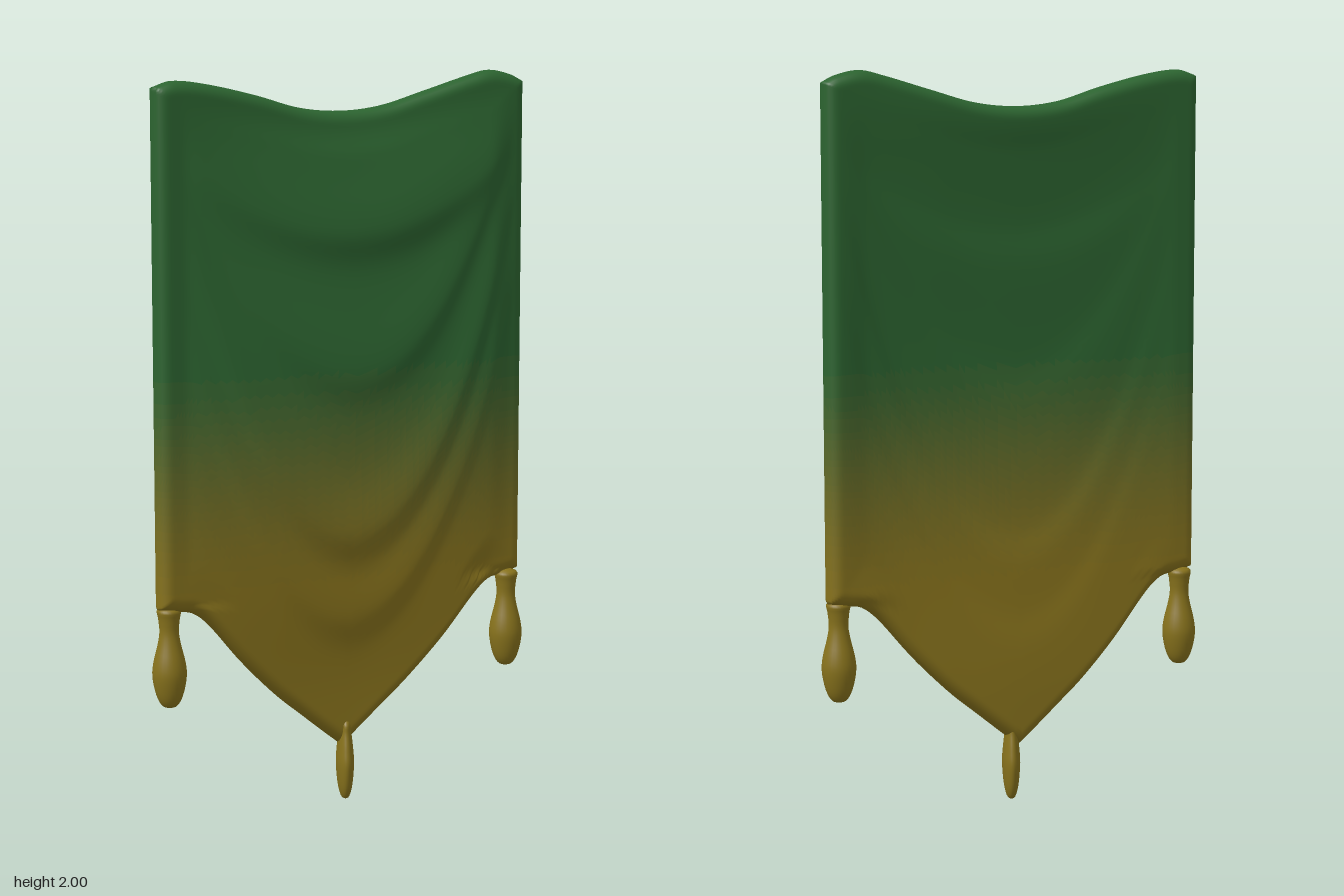
import * as THREE from 'three';
import { mergeVertices } from 'three/addons/utils/BufferGeometryUtils.js';

const GREEN = new THREE.Color(0x2c6430);
const GOLD = new THREE.Color(0x87721c);
const HALF_W = 0.555, HALF_T = 0.034;
const COLS = 80, ROWS = 100, BANDS = 22;

// Smooth (cubic Hermite) curve through points, read at x
function curveAt(pts, x) {
  let i = 0;
  while (i < pts.length - 2 && x > pts[i + 1][0]) i++;
  const slope = (k) => {
    const a = pts[Math.max(k - 1, 0)], b = pts[Math.min(k + 1, pts.length - 1)];
    return (b[1] - a[1]) / (b[0] - a[0]);
  };
  const [x0, y0] = pts[i], [x1, y1] = pts[i + 1], w = x1 - x0;
  const t = THREE.MathUtils.clamp((x - x0) / w, 0, 1), t2 = t * t, t3 = t2 * t;
  return (2 * t3 - 3 * t2 + 1) * y0 + (t3 - 2 * t2 + t) * w * slope(i)
    + (3 * t2 - 2 * t3) * y1 + (t3 - t2) * w * slope(i + 1);
}

// Sagging top edge, pointed bottom edge (mirrored), bow of the hang line, billow by height
const TOP = [[-0.555, 1.975], [-0.5, 1.99], [-0.4, 1.98], [-0.25, 1.947], [-0.12, 1.911], [0, 1.9],
  [0.12, 1.911], [0.25, 1.947], [0.38, 1.985], [0.45, 2], [0.52, 1.987], [0.555, 1.97]];
const BOTTOM = [[0, 0.155], [0.05, 0.195], [0.12, 0.253], [0.2, 0.32], [0.3, 0.42],
  [0.4, 0.537], [0.45, 0.578], [0.5, 0.588], [0.555, 0.6]];
const MID = [[-0.555, -0.034], [-0.25, -0.033], [0, -0.024], [0.2, -0.009], [0.4, 0.009], [0.555, 0.017]];
const BILLOW = [[0.15, 0.002], [0.35, 0.004], [0.6, 0.022], [0.8, 0.036], [1.05, 0.052],
  [1.3, 0.052], [1.55, 0.036], [1.75, 0.022], [1.92, 0], [2, 0]];
// Swag folds: height at the centre, depth, upward curl
const FOLDS = [[1.58, 0.026, 0.9], [1.2, 0.016, 2.6], [0.76, 0.024, 3.5], [0.53, 0.016, 3.4]];

function foldDepth(x, y) {
  let z = 0;
  for (const [c, depth, curl] of FOLDS) {
    const v = y - c - curl * x * x;
    z += depth * Math.exp(-((v / (v > 0 ? 0.14 : 0.065)) ** 2));
  }
  return z;
}

// Point on the cloth; side is +1 for the front and -1 for the back
function clothPoint(s, v, side) {
  const ease = (q) => 0.3 * q + 0.7 * Math.sin(q * Math.PI / 2);
  const x = HALF_W * ease(s);
  const lo = curveAt(BOTTOM, Math.abs(x)), hi = curveAt(TOP, x);
  const y = lo + (hi - lo) * (ease(v) + 1) / 2;
  // thickness closes with a round rim
  const d = Math.min(HALF_W - Math.abs(x), hi - y, (y - lo) * 0.8);
  const k = 1 - THREE.MathUtils.clamp(d / HALF_T, 0, 1);
  const h = HALF_T * Math.sqrt(Math.max(0, 1 - k * k));
  const env = Math.max(0, 1 - ((x - 0.04) / 0.52) ** 2);
  const fade = THREE.MathUtils.smoothstep(d, 0, 0.12);
  // the back follows the front more softly
  const billow = env * curveAt(BILLOW, y) * (y < 0.6 ? 1 : fade) * (side > 0 ? 1 : 0.6);
  const fold = env * foldDepth(x, y) * fade * (side > 0 ? 0.8 : 0.3);
  return [x, y, curveAt(MID, x) + side * h + billow + fold];
}

function clothGeometry() {
  const pos = [], index = [];
  for (const side of [1, -1]) {
    const start = pos.length / 3;
    for (let j = 0; j <= ROWS; j++) {
      for (let i = 0; i <= COLS; i++) {
        const rim = i === 0 || j === 0 || i === COLS || j === ROWS;
        pos.push(...clothPoint(i / COLS * 2 - 1, j / ROWS * 2 - 1, rim ? 1 : side));
      }
    }
    for (let j = 0; j < ROWS; j++) {
      for (let i = 0; i < COLS; i++) {
        const a = start + j * (COLS + 1) + i, b = a + 1, c = a + COLS + 1, e = c + 1;
        if (side > 0) index.push(a, b, e, a, e, c);
        else index.push(a, e, b, a, c, e);
      }
    }
  }
  const geo = new THREE.BufferGeometry();
  geo.setAttribute('position', new THREE.Float32BufferAttribute(pos, 3));
  geo.setIndex(index);
  const merged = mergeVertices(geo, 1e-5);
  merged.computeVertexNormals();
  return merged;
}

// The cloth is split by height into bands that fade from gold to green
function buildCloth() {
  const group = new THREE.Group();
  group.name = 'bannerCloth';
  const geo = clothGeometry(), pos = geo.attributes.position, idx = geo.index.array;
  const bands = Array.from({ length: BANDS }, () => []);
  for (let f = 0; f < idx.length; f += 3) {
    const y = (pos.getY(idx[f]) + pos.getY(idx[f + 1]) + pos.getY(idx[f + 2])) / 3;
    const t = THREE.MathUtils.smoothstep(y, 0.58, 1.27);
    bands[Math.round(t * (BANDS - 1))].push(idx[f], idx[f + 1], idx[f + 2]);
  }
  bands.forEach((faces, n) => {
    const part = geo.clone();
    part.setIndex(faces);
    const color = GOLD.clone().lerp(GREEN, n / (BANDS - 1));
    const mesh = new THREE.Mesh(part.toNonIndexed(), new THREE.MeshStandardMaterial({ color }));
    mesh.name = 'clothBand' + (n + 1);
    group.add(mesh);
  });
  return group;
}

// Drop-shaped tassel turned from a smooth profile
function buildTassel(name, profile, x, y, z) {
  const points = new THREE.SplineCurve(profile.map(([r, h]) => new THREE.Vector2(r, h))).getPoints(32);
  points.forEach((p) => { p.x = Math.max(p.x, 0); p.y = Math.max(p.y, 0); });
  const mesh = new THREE.Mesh(new THREE.LatheGeometry(points, 28),
    new THREE.MeshStandardMaterial({ color: GOLD }));
  mesh.name = name;
  mesh.position.set(x, y, z);
  return mesh;
}

export function createModel() {
  const model = new THREE.Group();
  model.name = 'hangingBanner';
  model.add(buildCloth());

  const corner = [[0, 0], [0.02, 0.006], [0.036, 0.035], [0.046, 0.085], [0.043, 0.125],
    [0.031, 0.175], [0.026, 0.21], [0.029, 0.245], [0.031, 0.27], [0, 0.282]];
  model.add(buildTassel('leftTassel', corner, 0.514, 0.325, 0.032));
  model.add(buildTassel('rightTassel', corner, -0.515, 0.325, -0.045));

  // the tip tassel is flattened and slightly twisted
  const tip = [[0, 0], [0.026, 0.006], [0.046, 0.04], [0.057, 0.1], [0.051, 0.145],
    [0.04, 0.19], [0.034, 0.22], [0, 0.245]];
  const tipTassel = buildTassel('tipTassel', tip, 0.012, 0, -0.014);
  tipTassel.scale.x = 0.43;
  tipTassel.rotation.y = -0.4;
  model.add(tipTassel);
  return model;
}
